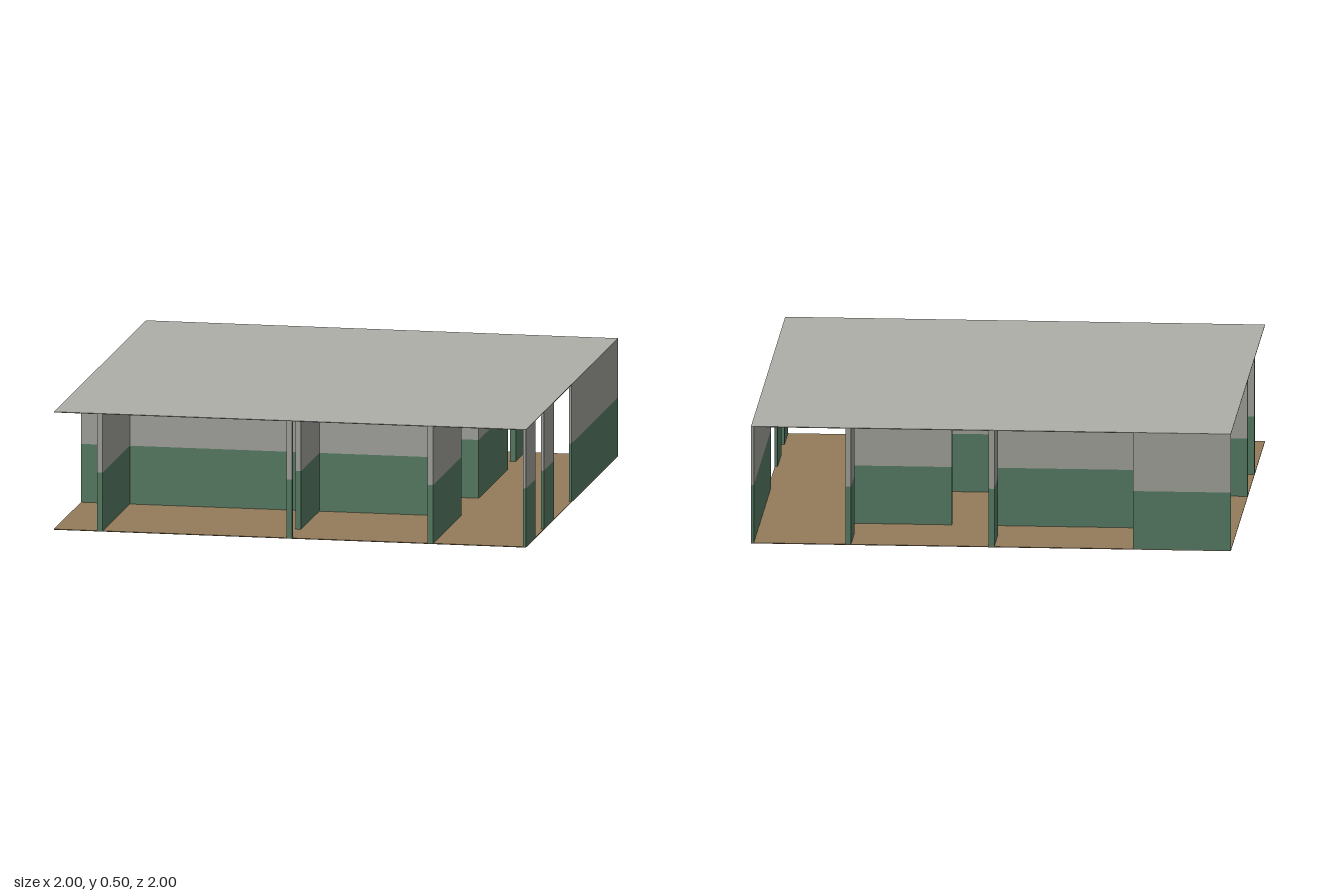
import * as THREE from 'three';

const HEIGHT = 0.5;
const DADO = 0.25; // height where the lower paint stops
const HALF = 0.012; // half the thickness of a wall
const SLAB = 0.003;

export function createModel() {
  const model = new THREE.Group();
  model.name = 'openPavilion';

  const material = (name, color) => {
    const m = new THREE.MeshStandardMaterial({ color });
    m.name = name;
    return m;
  };
  const grey = material('pale grey plaster', 0xb0b0aa);
  const green = material('green lower wall', 0x5f866d);
  const brown = material('brown floor', 0x967d5c);

  // Box given by its lower and upper limits
  const block = (parent, name, mat, [x0, x1], [y0, y1], [z0, z1]) => {
    const mesh = new THREE.Mesh(new THREE.BoxGeometry(x1 - x0, y1 - y0, z1 - z0), mat);
    mesh.position.set((x0 + x1) / 2, (y0 + y1) / 2, (z0 + z1) / 2);
    mesh.name = name;
    parent.add(mesh);
  };

  // Two-tone wall: green below, grey above
  const wall = (name, xs, zs) => {
    const group = new THREE.Group();
    group.name = name;
    block(group, 'lowerWall', green, xs, [SLAB, DADO], zs);
    block(group, 'upperWall', grey, xs, [DADO, HEIGHT - SLAB], zs);
    model.add(group);
  };
  const alongZ = (name, x, z0, z1) => wall(name, [x - HALF, x + HALF], [z0, z1]);
  const alongX = (name, z, x0, x1) => wall(name, [x0, x1], [z - HALF, z + HALF]);

  // Floor and ceiling
  block(model, 'floor', brown, [-1, 1], [0, SLAB], [-1, 1]);
  block(model, 'ceiling', grey, [-1, 1], [HEIGHT - SLAB, HEIGHT], [-1, 1]);

  // Outer wall on the +x side, broken by openings
  for (const [z0, z1] of [[-1, 0.01], [0.39, 0.61], [0.79, 1]]) {
    wall('outerWall', [0.988, 1], [z0, z1]);
  }
  // Short outer wall at the back
  wall('backWall', [-1, -0.6], [-1, -0.982]);

  // Walls of the cross corridor
  alongX('corridorFrontWall', 0.4, -1, 0.607);
  alongX('corridorBackWall', 0, -1, 0.607);

  // Front room dividers
  alongZ('frontDivider', -0.805, 0.4, 1);
  alongZ('frontDivider', -0.002, 0.4, 0.81);
  alongZ('frontDoorPost', -0.002, 0.98, 1);
  alongZ('frontDivider', 0.595, 0.4, 1);

  // Back room dividers with door gaps
  alongZ('backDivider', -0.605, -1, 0);
  alongZ('backDivider', -0.002, -1, -0.79);
  alongZ('backDivider', -0.002, -0.41, 0);
  alongZ('backDivider', 0.595, -1, -0.79);
  alongZ('backDivider', 0.595, -0.612, 0);
  alongX('backCrossWall', -0.605, -0.605, 0.01);
  alongX('backCrossWall', -0.605, 0.19, 0.607);

  return model;
}
